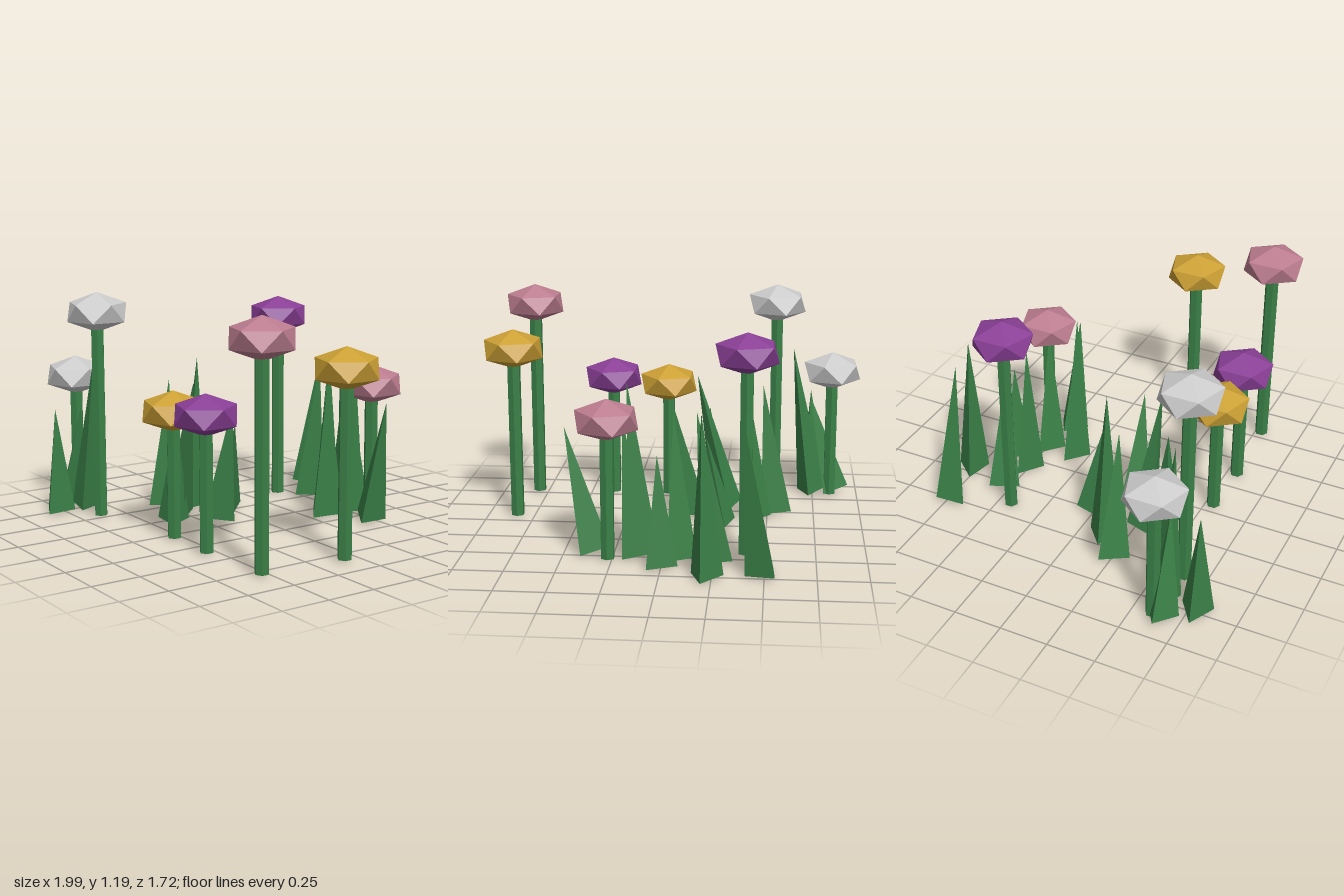
import * as THREE from 'three';

const paint = (name, color) => {
  const m = new THREE.MeshStandardMaterial({ color });
  m.name = name;
  return m;
};

// faceted copy of a geometry
function faceted(geometry) {
  const g = geometry.index ? geometry.toNonIndexed() : geometry;
  g.computeVertexNormals();
  return g;
}

export function createModel() {
  const green = paint('leaf green', 0x3a8047);
  const white = paint('petal white', 0xcbcbcb);
  const purple = paint('petal purple', 0x8a3f96);
  const pink = paint('petal pink', 0xbc7d90);
  const yellow = paint('petal yellow', 0xcca034);

  const model = new THREE.Group();
  model.name = 'flowerPatch';

  // squashed icosahedron standing on a point
  const headGeo = new THREE.IcosahedronGeometry(0.173, 0);
  headGeo.rotateX(-Math.atan((1 + Math.sqrt(5)) / 2));
  headGeo.rotateY(Math.PI / 2);
  headGeo.scale(1, 0.6, 1);
  const head = faceted(headGeo);

  // flowers: x, z, height of head centre, petal colour
  const flowers = [
    [-0.845, 0.605, 0.71, white],
    [-0.535, 0.635, 1.08, white],
    [-0.4, -0.425, 1.01, purple],
    [0.27, -0.545, 0.7, pink],
    [0.8, 0.535, 1.08, pink],
    [0.84, 0.085, 0.91, yellow],
    [0.06, 0.545, 0.64, yellow],
    [0.37, 0.555, 0.67, purple],
  ];
  for (const [x, z, y, petals] of flowers) {
    const flower = new THREE.Group();
    flower.name = 'flower';
    flower.position.set(x, 0, z);
    const stemGeo = new THREE.CylinderGeometry(0.036, 0.036, y, 6);
    const stem = new THREE.Mesh(faceted(stemGeo), green);
    stem.name = 'stem';
    stem.position.y = y / 2;
    const bloom = new THREE.Mesh(head, petals);
    bloom.name = 'flowerHead';
    bloom.position.y = y;
    flower.add(stem, bloom);
    model.add(flower);
  }

  // three-sided grass blades: base x, base z, tip x, tip y, tip z, spin
  const blades = [
    // front left tuft
    [-0.745, 0.785, -0.735, 0.555, 0.79, 2.7],
    [-0.74, 0.62, -0.63, 0.83, 0.61, 3.0],
    [-0.86, 0.65, -0.73, 0.55, 0.64, -1.57],
    // middle tuft
    [-0.265, 0.0, -0.18, 0.47, 0.015, 3.37],
    [-0.43, 0.135, -0.37, 0.82, 0.13, -1.4],
    [-0.11, 0.165, 0.01, 0.62, 0.16, -2.16],
    [-0.545, 0.245, -0.47, 0.7, 0.245, 0.1],
    [-0.285, 0.3, -0.115, 0.735, 0.315, 3.3],
    [-0.21, 0.385, -0.18, 0.54, 0.38, 3.1],
    // back tuft
    [-0.5, -0.72, -0.39, 0.77, -0.72, -2.56],
    [-0.22, -0.77, -0.2, 0.795, -0.76, 2.95],
    [-0.265, -0.545, -0.165, 0.75, -0.54, 0],
    [0.01, -0.63, 0.02, 0.55, -0.62, -1.7],
    [-0.075, -0.51, -0.05, 0.73, -0.5, -1.65],
    [0.135, -0.33, 0.195, 0.835, -0.325, -1.7],
    [0.14, -0.49, 0.2, 0.7, -0.5, -1.7],
    [0.36, -0.46, 0.49, 0.64, -0.46, 0.5],
  ];
  const up = new THREE.Vector3(0, 1, 0);
  for (const [bx, bz, tx, ty, tz, spin] of blades) {
    const radius = 0.093;
    const lean = Math.hypot(tx - bx, tz - bz) / ty;
    const base = new THREE.Vector3(bx, radius * lean * 0.6, bz);
    const axis = new THREE.Vector3(tx, ty, tz).sub(base);
    const geo = new THREE.ConeGeometry(radius, axis.length(), 3);
    geo.translate(0, axis.length() / 2, 0);
    geo.rotateY(spin);
    const blade = new THREE.Mesh(faceted(geo), green);
    blade.name = 'grassBlade';
    blade.position.copy(base);
    blade.quaternion.setFromUnitVectors(up, axis.normalize());
    model.add(blade);
  }
  return model;
}
